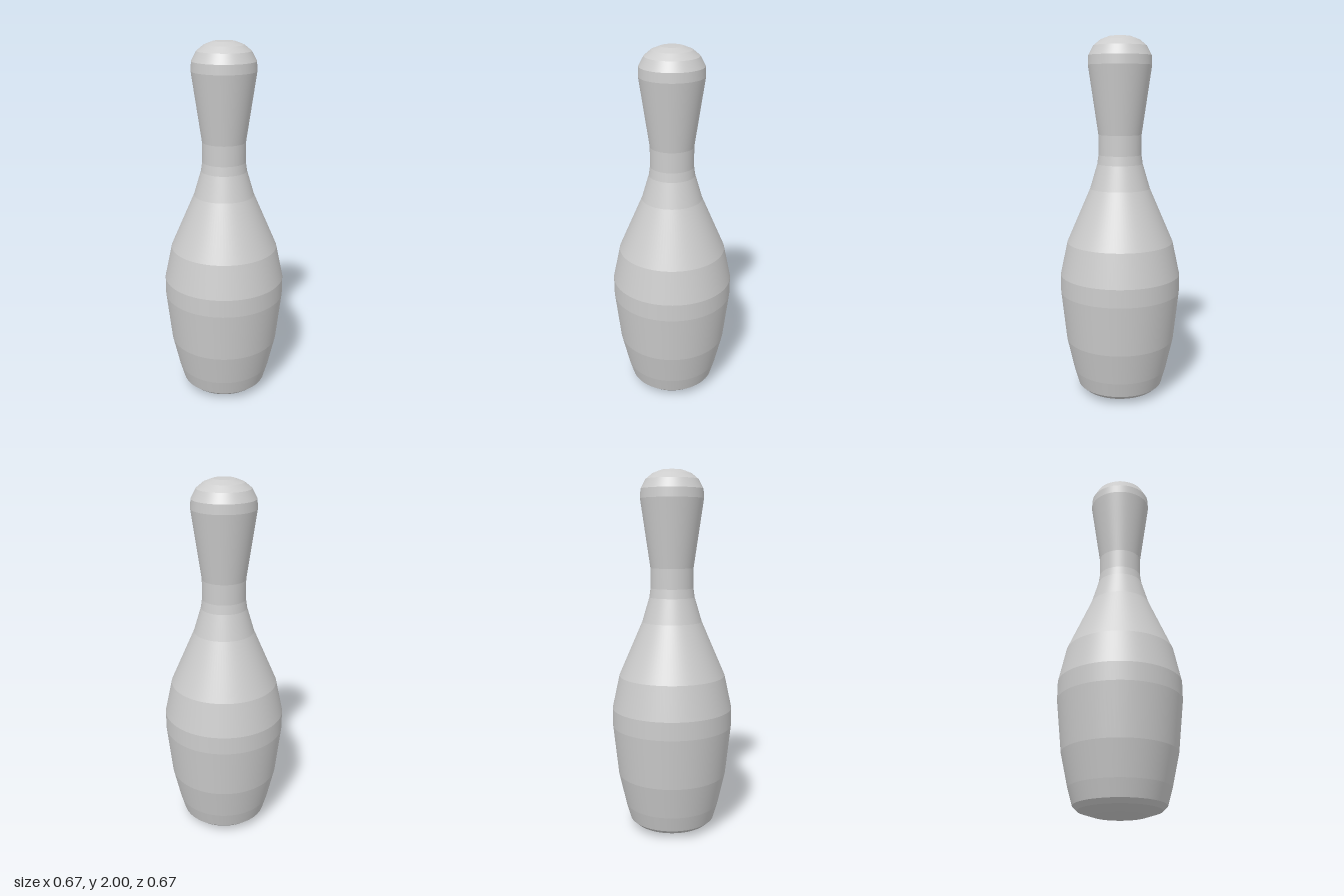
import * as THREE from 'three';
import { mergeGeometries } from 'three/addons/utils/BufferGeometryUtils.js';

// Silhouette from base to crown: [radius, height]
const PROFILE = [
  [0, 0], [0.14, 0.006], [0.215, 0.03], [0.24, 0.053], [0.265, 0.14],
  [0.305, 0.32], [0.335, 0.6], [0.335, 0.7], [0.295, 0.885], [0.165, 1.185],
  [0.125, 1.32], [0.118, 1.37], [0.118, 1.48], [0.172, 1.85], [0.169, 1.9],
  [0.142, 1.95], [0.105, 1.98], [0.058, 1.998], [0, 2],
];

export function createModel() {
  const ivory = new THREE.MeshStandardMaterial({ color: 0xcccccc });
  ivory.name = 'pale grey';

  // One lathe per band: round about the axis, with a crease at every ring
  const bands = PROFILE.slice(1).map((top, i) =>
    new THREE.LatheGeometry(
      [new THREE.Vector2(...PROFILE[i]), new THREE.Vector2(...top)], 96));

  const body = new THREE.Mesh(mergeGeometries(bands), ivory);
  body.name = 'pinBody';

  const model = new THREE.Group();
  model.name = 'bowlingPin';
  model.add(body);
  return model;
}
